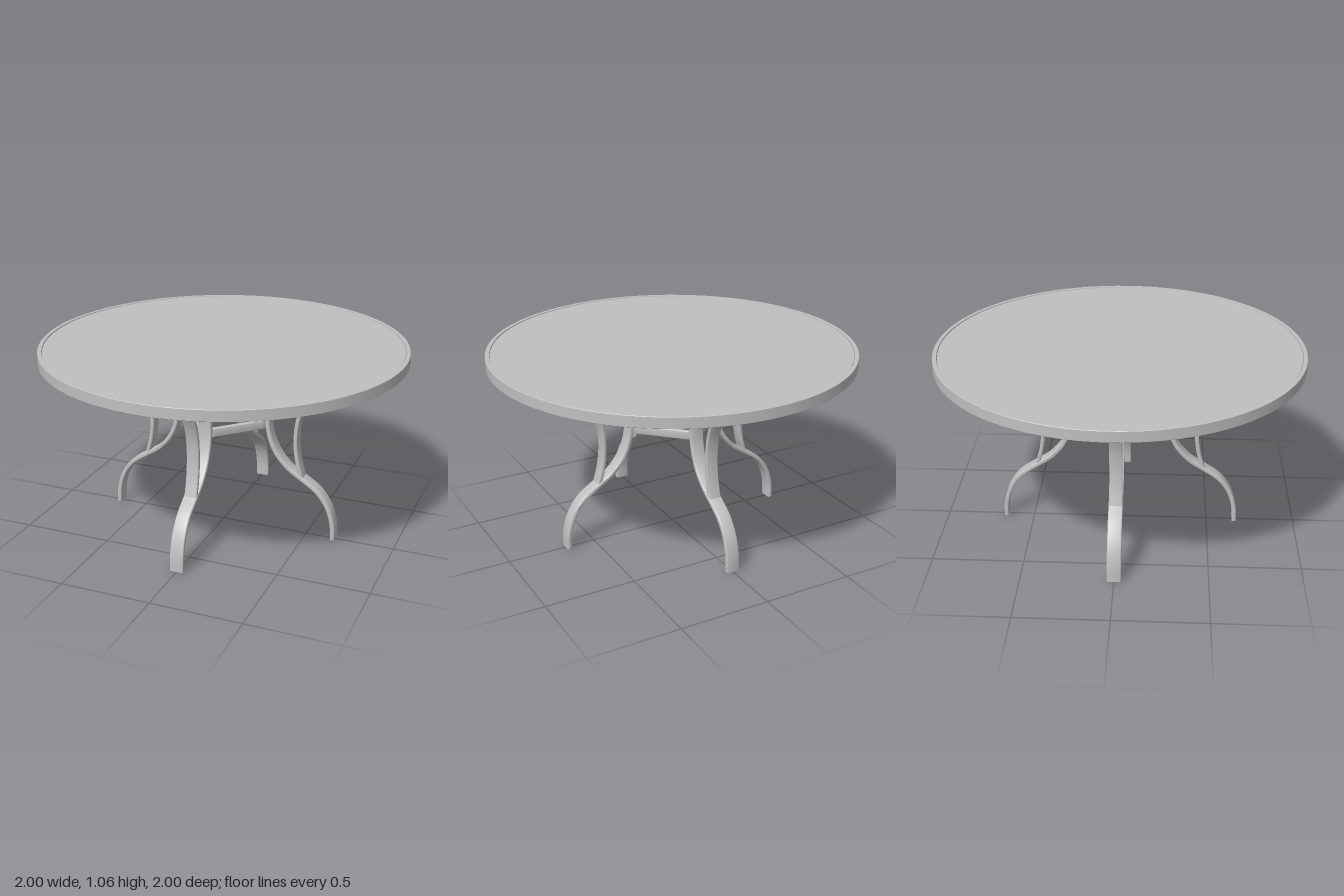
import * as THREE from 'three';
import { toCreasedNormals } from 'three/addons/utils/BufferGeometryUtils.js';

const metal = new THREE.MeshStandardMaterial({ color: 0xc0c0c0 });
metal.name = 'grey metal';

function part(name, geometry) {
  const mesh = new THREE.Mesh(geometry, metal);
  mesh.name = name;
  return mesh;
}

// Flat bar with softened edges, following a side profile in the x-y plane
function bentBar(points, width, thickness, steps) {
  const bevel = 0.006;
  const curve = new THREE.CatmullRomCurve3(points.map(([x, y]) => new THREE.Vector3(x, y, 0)), false, 'centripetal');
  const half = thickness / 2 - bevel;
  const sideA = [], sideB = [];
  for (let i = 0; i <= steps; i++) {
    const p = curve.getPointAt(i / steps), t = curve.getTangentAt(i / steps);
    sideA.push(new THREE.Vector2(p.x - t.y * half, p.y + t.x * half));
    sideB.unshift(new THREE.Vector2(p.x + t.y * half, p.y - t.x * half));
  }
  const depth = width - 2 * bevel;
  const geo = new THREE.ExtrudeGeometry(new THREE.Shape([...sideA, ...sideB]), {
    depth, bevelSize: bevel, bevelThickness: bevel, bevelSegments: 3,
  });
  geo.translate(0, 0, -depth / 2);
  return toCreasedNormals(geo, 0.7);
}

function roundedSquare(Type, h, r) {
  const s = new Type();
  const k = h - r;
  s.absarc(k, k, r, 0, Math.PI / 2);
  s.absarc(-k, k, r, Math.PI / 2, Math.PI);
  s.absarc(-k, -k, r, Math.PI, Math.PI * 1.5);
  s.absarc(k, -k, r, Math.PI * 1.5, Math.PI * 2);
  s.closePath();
  return s;
}

export function createModel() {
  const table = new THREE.Group();
  table.name = 'roundTable';

  // Rim with an inner lip carrying the top panel
  const rim = [
    [0.945, 1.03], [0.945, 1.02], [0.972, 1.02], [0.972, 1.0], [0.998, 1.0], [1, 1.002],
    [1, 1.058], [0.998, 1.06], [0.978, 1.06], [0.976, 1.05], [0.976, 1.03], [0.945, 1.03],
  ].map(([x, y]) => new THREE.Vector2(x, y));
  table.add(part('rim', toCreasedNormals(new THREE.LatheGeometry(rim, 96), 0.5)));

  const top = part('topPanel', new THREE.CylinderGeometry(0.975, 0.975, 0.027, 96));
  top.position.y = 1.0425;
  table.add(top);

  // Four legs, each with its curved brace and a support bar under the top
  const legGeo = bentBar([
    [0.66, 0.006], [0.655, 0.09], [0.625, 0.19], [0.565, 0.275], [0.48, 0.335],
    [0.39, 0.395], [0.315, 0.485], [0.274, 0.6], [0.27, 0.72], [0.295, 0.81],
    [0.36, 0.895], [0.43, 0.96], [0.51, 1.005],
  ], 0.076, 0.024, 64);
  const braceGeo = bentBar([
    [0.467, 0.35], [0.443, 0.44], [0.43, 0.56], [0.445, 0.7], [0.515, 0.86], [0.625, 1.005],
  ], 0.07, 0.022, 36);
  const supportGeo = new THREE.BoxGeometry(0.49, 0.029, 0.05);
  for (let i = 0; i < 4; i++) {
    const unit = new THREE.Group();
    unit.name = 'legUnit' + (i + 1);
    const support = part('supportBar', supportGeo);
    support.position.set(0.72, 1.0155, 0);
    unit.add(part('leg', legGeo), part('brace', braceGeo), support);
    unit.rotation.y = (i * Math.PI) / 2;
    table.add(unit);
  }

  // Rounded square stretcher whose corners meet the legs
  const ringShape = roundedSquare(THREE.Shape, 0.203, 0.07);
  ringShape.holes.push(roundedSquare(THREE.Path, 0.187, 0.054));
  const ringGeo = new THREE.ExtrudeGeometry(ringShape, {
    depth: 0.04, bevelSize: 0.005, bevelThickness: 0.005, bevelSegments: 3, curveSegments: 12,
  });
  ringGeo.rotateX(-Math.PI / 2);
  const stretcher = new THREE.Group();
  stretcher.name = 'stretcher';
  stretcher.add(part('stretcherRing', toCreasedNormals(ringGeo, 0.7)));

  // Small open hub held by two thin rods
  const hub = [[0.02, 0], [0.03, 0], [0.03, 0.04], [0.02, 0.04], [0.02, 0]].map(([x, y]) => new THREE.Vector2(x, y));
  stretcher.add(part('hub', toCreasedNormals(new THREE.LatheGeometry(hub, 24), 0.5)));
  for (const side of [1, -1]) {
    const rod = part('hubRod', new THREE.CylinderGeometry(0.007, 0.007, 0.165, 12));
    rod.rotation.z = Math.PI / 2;
    rod.position.set(side * 0.11, 0.02, 0);
    stretcher.add(rod);
  }
  stretcher.position.y = 0.615;
  stretcher.rotation.y = Math.PI / 4;
  table.add(stretcher);

  return table;
}
